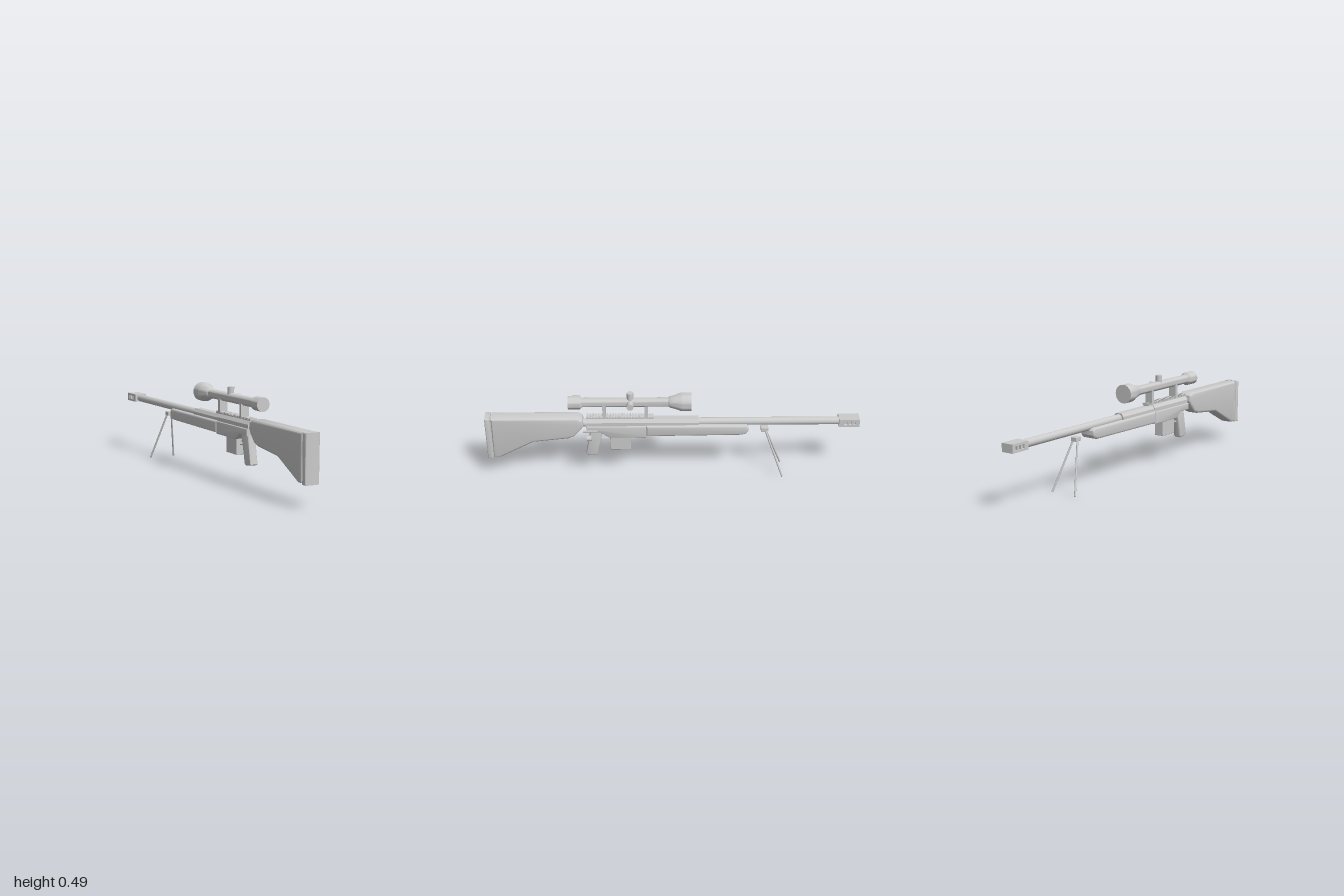
import * as THREE from 'three';
import { toCreasedNormals } from 'three/addons/utils/BufferGeometryUtils.js';
import { RoundedBoxGeometry } from 'three/addons/geometries/RoundedBoxGeometry.js';

export function createModel() {
  const root = new THREE.Group();
  root.name = 'scopedRifle';
  const mat = new THREE.MeshStandardMaterial({ color: 0xcccccc });

  // Everything but the bolt handle is symmetric about this plane
  const body = new THREE.Group();
  body.name = 'rifleBody';
  body.position.x = -0.02;
  root.add(body);

  function add(name, geo, x = 0, y = 0, z = 0, parent = body) {
    const m = new THREE.Mesh(geo, mat);
    m.name = name;
    m.position.set(x, y, z);
    parent.add(m);
    return m;
  }
  const box = (w, h, d) => new THREE.BoxGeometry(w, h, d);

  // Side outline of [z, y] points, given thickness along x
  function slab(points, width, bevel = 0.004) {
    const shape = new THREE.Shape(points.map(([z, y]) => new THREE.Vector2(-z, y)));
    const g = new THREE.ExtrudeGeometry(shape, {
      depth: width - 2 * bevel, bevelEnabled: bevel > 0, bevelSize: bevel,
      bevelThickness: bevel, bevelOffset: -bevel, bevelSegments: 3,
    });
    g.translate(0, 0, -(width / 2 - bevel));
    g.rotateY(Math.PI / 2);
    return toCreasedNormals(g, 0.6);
  }

  // Cross-section of [x, y] points, running from z0 to z1
  function bar(points, z0, z1) {
    const shape = new THREE.Shape(points.map(([x, y]) => new THREE.Vector2(x, y)));
    const g = new THREE.ExtrudeGeometry(shape, { depth: z1 - z0, bevelEnabled: false });
    g.translate(0, 0, z0);
    return toCreasedNormals(g, 0.4);
  }

  // Round rod between two points
  function rod(name, a, b, r, sides, parent = body) {
    const from = new THREE.Vector3(...a), to = new THREE.Vector3(...b);
    const dir = to.clone().sub(from);
    const m = add(name, new THREE.CylinderGeometry(r, r, dir.length(), sides), 0, 0, 0, parent);
    m.position.copy(from).add(to).multiplyScalar(0.5);
    m.quaternion.setFromUnitVectors(new THREE.Vector3(0, 1, 0), dir.normalize());
    return m;
  }

  // Stock and recoil pad
  add('stock', slab([
    [0.967, 0.36], [0.967, 0.118], [0.93, 0.118], [0.745, 0.213], [0.56, 0.233],
    [0.525, 0.247], [0.485, 0.293], [0.475, 0.315], [0.48, 0.345], [0.505, 0.36],
  ], 0.08, 0.012));
  add('recoilPad', slab([[1, 0.36], [0.998, 0.113], [0.97, 0.113], [0.972, 0.36]], 0.08, 0.006));
  add('padSpacer', box(0.068, 0.225, 0.02), 0, 0.238, 0.967);

  // Receiver
  add('lowerReceiver', slab([
    [0.46, 0.308], [0.46, 0.272], [0.385, 0.272], [0.34, 0.24], [0.14, 0.24], [0.14, 0.308],
  ], 0.082, 0.005));
  const upper = [
    [-0.033, 0.29], [0.033, 0.29], [0.033, 0.328], [0.02, 0.345], [-0.02, 0.345], [-0.033, 0.328],
  ];
  add('upperReceiver', bar(upper, 0.14, 0.46));
  add('barrelShroud', bar(upper.map(([x, y]) => [x * 0.92, y - 0.003]), -0.14, 0.14));
  rod('boltBody', [0, 0.312, 0.5], [0, 0.312, 0.44], 0.022, 20);

  // Forend, with a rounded nose
  add('forend', slab([
    [0.14, 0.31], [0.14, 0.245], [-0.37, 0.25], [-0.395, 0.258], [-0.407, 0.275],
    [-0.407, 0.298], [-0.395, 0.31],
  ], 0.086, 0.012));

  // Grip, magazine and trigger guard
  add('grip', slab([[0.438, 0.28], [0.468, 0.125], [0.462, 0.12], [0.413, 0.114], [0.405, 0.12], [0.37, 0.28]], 0.045, 0.008));
  add('magazine', new RoundedBoxGeometry(0.056, 0.1, 0.11, 2, 0.004), 0, 0.206, 0.28);
  add('triggerGuard', box(0.016, 0.006, 0.075), 0, 0.211, 0.364);
  add('trigger', slab([[0.362, 0.26], [0.355, 0.225], [0.348, 0.225], [0.352, 0.26]], 0.01, 0));

  // Toothed rail
  add('railBase', box(0.036, 0.008, 0.36), 0, 0.347, 0.28);
  for (let i = 0; i < 24; i++) add('railTooth', box(0.042, 0.008, 0.008), 0, 0.354, 0.105 + i * 0.0152);

  // Barrel and slotted muzzle brake
  rod('barrel', [0, 0.316, 0.1], [0, 0.316, -0.9], 0.021, 24);
  const brake = new THREE.Group();
  brake.name = 'muzzleBrake';
  brake.position.set(0, 0.316, -0.945);
  body.add(brake);
  for (const s of [-1, 1]) add('brakePlate', box(0.068, 0.011, 0.11), 0, s * 0.0165, 0, brake);
  add('brakeCore', box(0.046, 0.022, 0.11), 0, 0, 0, brake);
  for (const [z, d] of [[-0.045, 0.02], [-0.0165, 0.009], [0.0075, 0.009], [0.0415, 0.027]])
    add('brakeRib', box(0.068, 0.022, d), 0, 0, z, brake);

  // Bipod
  add('bipodBlock', new RoundedBoxGeometry(0.036, 0.022, 0.04, 2, 0.003), 0, 0.27, -0.495);
  for (const s of [-1, 1]) rod('bipodLeg', [s * 0.012, 0.27, -0.497], [s * 0.074, 0.003, -0.597], 0.005, 10);

  // Telescopic sight; profile runs from eyepiece to objective as [z, radius]
  const profile = [
    [0.553, 0], [0.553, 0.036], [0.49, 0.036], [0.478, 0.025], [0.02, 0.025],
    [0.015, 0.03], [-0.01, 0.036], [-0.045, 0.049], [-0.055, 0.05], [-0.1, 0.05], [-0.1, 0],
  ];
  const sight = new THREE.LatheGeometry(profile.map(([z, r]) => new THREE.Vector2(r, -z)), 32);
  sight.rotateX(-Math.PI / 2);
  add('sightTube', toCreasedNormals(sight, 0.6), 0, 0.438, 0);
  rod('elevationTurret', [0, 0.438, 0.224], [0, 0.495, 0.224], 0.018, 24);
  rod('windageTurret', [0, 0.438, 0.224], [0.057, 0.438, 0.224], 0.018, 24);
  for (const z of [0.363, 0.139]) add('sightMount', box(0.046, 0.075, 0.018), 0, 0.387, z);

  // Bolt handle on the model's left
  rod('boltHandle', [0.045, 0.298, 0.4], [0.045, 0.298, 0.476], 0.005, 8, root);
  rod('boltKnob', [0.082, 0.278, 0.428], [0.082, 0.278, 0.456], 0.015, 20, root);

  return root;
}
